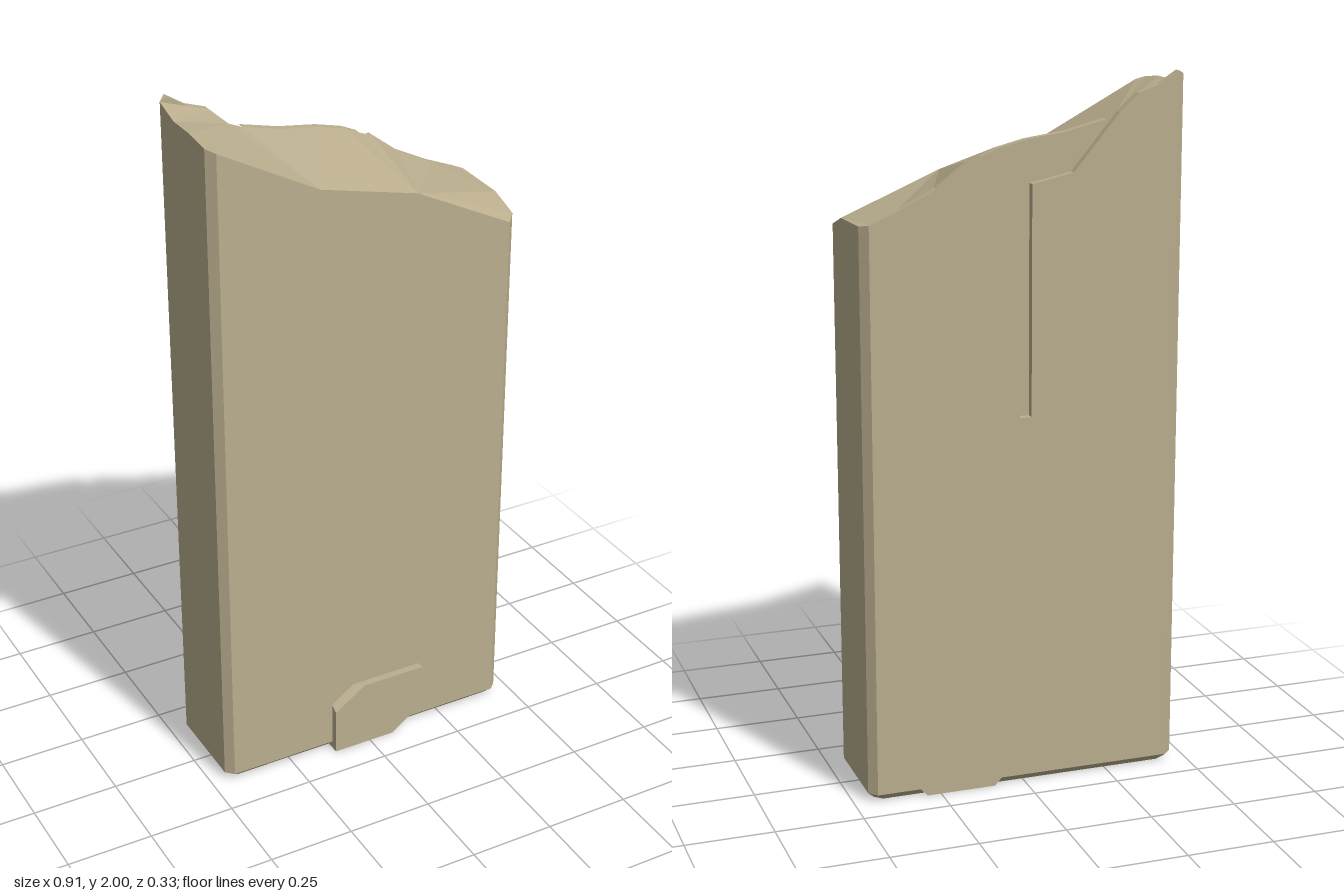
import * as THREE from 'three';

const CH = 0.022;                       // edge chamfer
const BACK = -0.165, FLOOR = -0.142;    // back face and groove floor

// broken top edge along the back: x, y
const B = [[-.435, 2], [-.38, 1.965], [-.32, 1.945], [-.265, 1.895], [-.225, 1.878],
  [-.11, 1.85], [0, 1.835], [.08, 1.815], [.125, 1.795], [.165, 1.78],
  [.25, 1.715], [.35, 1.665], [.435, 1.63]];

// rim of the top, from back right round the front to back left: x, y, z
const RIM = [[-.435, 2, BACK], [-.457, 1.99, FLOOR], [-.457, 1.965, -.06], [-.457, 1.965, .03],
  [-.457, 1.955, .118], [-.435, 1.945, .14], [-.145, 1.79, .14], [.145, 1.72, .14],
  [.435, 1.575, .14], [.457, 1.59, .118], [.457, 1.62, .03], [.457, 1.625, FLOOR], [.435, 1.63, BACK]];

function fromTriangles(tris) {
  const g = new THREE.BufferGeometry();
  g.setAttribute('position', new THREE.Float32BufferAttribute(tris.flat(2), 3));
  g.computeVertexNormals();
  return g;
}

// band of quads between two rings of equal length
function band(tris, a, b, closed) {
  const n = a.length;
  for (let i = 0; i < (closed ? n : n - 1); i++) {
    const j = (i + 1) % n;
    tris.push([a[i], a[j], b[j]], [a[i], b[j], b[i]]);
  }
}

function bodyGeometry() {
  const tris = [];
  const zc = -0.0125;
  const low = RIM.map(([x, , z]) => [x, CH, z]);
  const base = RIM.map(([x, , z]) => [x * .435 / .457, 0, zc + (z - zc) * .1305 / .1525]);
  band(tris, low, RIM, false);
  band(tris, base, low, true);
  base.forEach((p, i) => tris.push([[0, 0, zc], base[(i + 1) % base.length], p]));

  // fractured top: each rim point fans to a run of back edge points
  const b = B.map(([x, y]) => [x, y, FLOOR]);
  const fans = [[1, 0, 2], [2, 2, 3], [3, 3, 3], [4, 3, 3], [5, 3, 3], [6, 3, 6],
    [7, 6, 11], [10, 11, 12], [11, 12, 12]];
  fans.forEach(([r, from, to], k) => {
    for (let i = from; i < to; i++) tris.push([RIM[r], b[i + 1], b[i]]);
    if (k < fans.length - 1) tris.push([RIM[r], RIM[fans[k + 1][0]], b[to]]);
  });
  tris.push([RIM[7], RIM[9], RIM[10]], [RIM[7], RIM[8], RIM[9]]);
  tris.push([RIM[0], RIM[1], b[0]], [RIM[12], b[12], RIM[11]]);
  return fromTriangles(tris);
}

const shape = pts => new THREE.Shape(pts.map(p => new THREE.Vector2(...p)));

// slab of the back layer that leaves the grooves open
function backPlate(pts) {
  const g = new THREE.ExtrudeGeometry(shape(pts), { depth: FLOOR - BACK, bevelEnabled: false });
  return g.translate(0, 0, BACK);
}

// front block with two slanted corner cuts
function badgeGeometry() {
  const ring = (z, x1, y1, x2, y2) => [[-.115, 0, z], [x2, 0, z], [.175, y2, z],
    [.175, .205, z], [x1, .205, z], [-.115, y1, z]];
  const rings = [ring(.1, -.045, .155, .11, .05), ring(.14, -.045, .155, .11, .05),
    ring(.162, -.02, .14, .075, .07)];
  const tris = [];
  band(tris, rings[0], rings[1], true);
  band(tris, rings[1], rings[2], true);
  const f = rings[2];
  for (let i = 1; i < 5; i++) tris.push([f[0], f[i], f[i + 1]]);
  return fromTriangles(tris);
}

export function createModel() {
  const group = new THREE.Group();
  const stone = new THREE.MeshStandardMaterial({ color: 0xbbaf8f, flatShading: true });
  const stoneDouble = stone.clone();
  stoneDouble.side = THREE.DoubleSide;
  const add = (name, geometry, material = stone) => {
    const mesh = new THREE.Mesh(geometry, material);
    mesh.name = name;
    group.add(mesh);
    return mesh;
  };

  add('slabBody', bodyGeometry());

  const foot = [[-.435, CH], [.435, CH]];
  const topEdge = B.slice().reverse();
  add('grooveFloor', new THREE.ShapeGeometry(shape([...foot, ...topEdge])), stoneDouble)
    .position.z = FLOOR;

  // outer back face, cut by the forked groove and its stem
  add('backFace', backPlate([...foot, ...topEdge.slice(0, 4),
    [.017, 1.71], [.017, 1.075], [-.017, 1.075], [-.017, 1.715], [-.135, 1.74],
    ...topEdge.slice(9)]));
  // piece held between the fork arms
  add('backFork', backPlate([[-.12, 1.775], [.01, 1.745], ...topEdge.slice(4, 9)]));

  add('frontBadge', badgeGeometry());

  // small block filling the lower back chamfer
  const filler = backPlate([[.09, 0], [.29, 0], [.31, CH], [.07, CH]]);
  add('backFootBlock', filler);
  return group;
}
